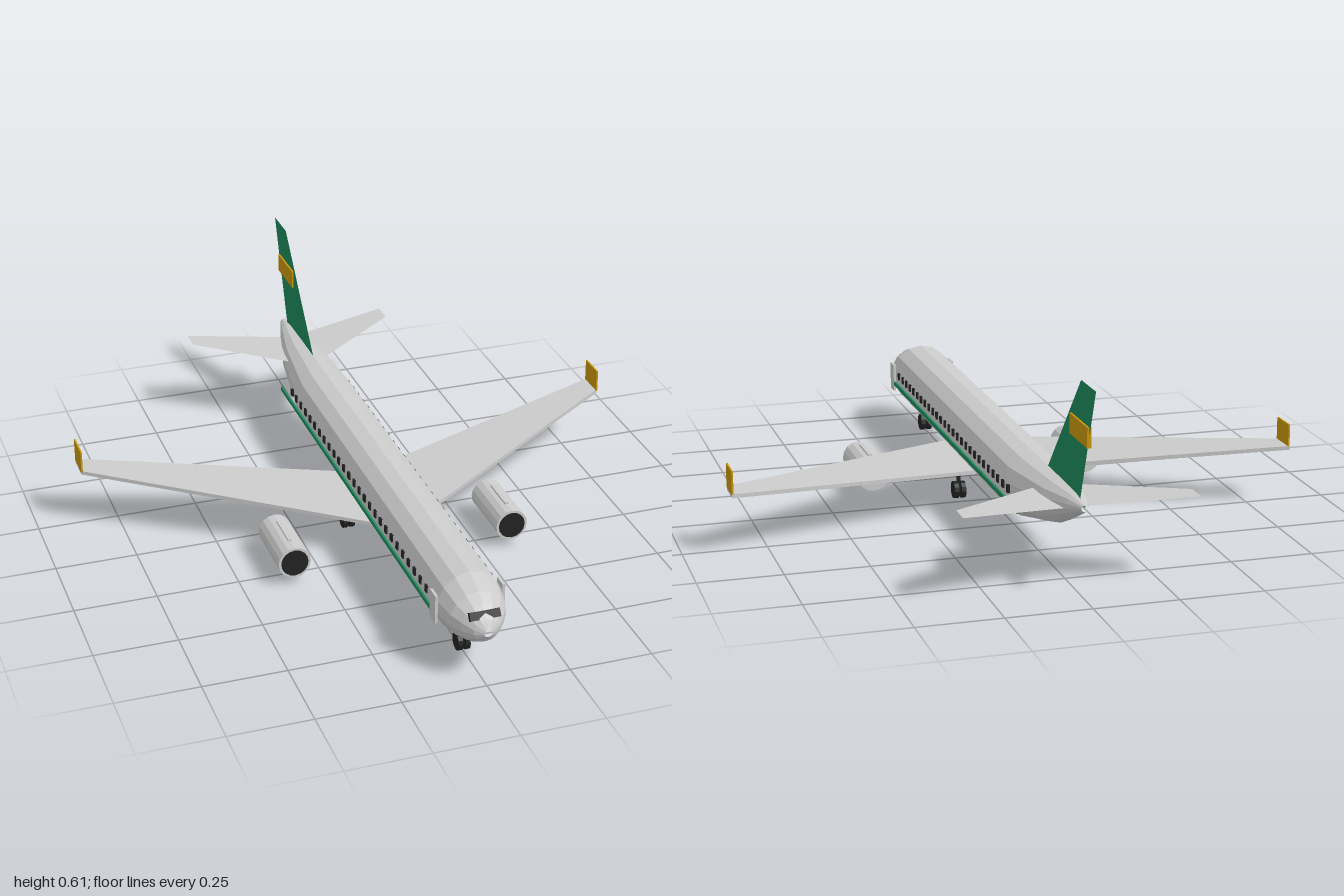
import * as THREE from 'three';

const mat = (color, extra = {}) => new THREE.MeshStandardMaterial({ color, flatShading: true, ...extra });
const grey = mat(0xcccccc);
const greySheet = mat(0xcccccc, { side: THREE.DoubleSide });
const dark = mat(0x222222);
const green = mat(0x1d8a5c, { side: THREE.DoubleSide });
const gold = mat(0xc8960c);

function add(parent, name, geometry, material, x = 0, y = 0, z = 0) {
  const mesh = new THREE.Mesh(geometry, material);
  mesh.name = name;
  mesh.position.set(x, y, z);
  parent.add(mesh);
  return mesh;
}
const box = (w, h, d) => new THREE.BoxGeometry(w, h, d);
const tube = (r, len, sides, axis) => {
  const g = new THREE.CylinderGeometry(r, r, len, sides);
  if (axis === 'x') g.rotateZ(Math.PI / 2);
  if (axis === 'z') g.rotateX(Math.PI / 2);
  return g;
};

// Rings along z, each [z, half width, top, bottom], joined and capped
function loft(rings, sides) {
  const pos = [], index = [];
  for (const [z, w, top, bottom] of rings) {
    for (let i = 0; i < sides; i++) {
      const a = (i / sides) * Math.PI * 2;
      pos.push(w * Math.sin(a), (top + bottom) / 2 + ((top - bottom) / 2) * Math.cos(a), z);
    }
  }
  for (let r = 0; r < rings.length - 1; r++) {
    for (let i = 0; i < sides; i++) {
      const j = (i + 1) % sides;
      const a = r * sides + i, b = r * sides + j, c = a + sides, d = b + sides;
      index.push(a, c, b, b, c, d);
    }
  }
  const last = (rings.length - 1) * sides;
  for (let i = 1; i < sides - 1; i++) {
    index.push(0, i + 1, i, last, last + i, last + i + 1);
  }
  const g = new THREE.BufferGeometry();
  g.setAttribute('position', new THREE.Float32BufferAttribute(pos, 3));
  g.setIndex(index);
  // nose-first rings need the opposite winding
  for (let i = 0; i < index.length; i += 3) {
    const t = g.index.getX(i + 1);
    g.index.setX(i + 1, g.index.getX(i + 2));
    g.index.setX(i + 2, t);
  }
  const flat = g.toNonIndexed();
  flat.computeVertexNormals();
  return flat;
}

// Planform of [x, z] corners laid flat, then raised with x (dihedral)
function panel(points, thickness, yAt) {
  const shape = new THREE.Shape(points.map(([x, z]) => new THREE.Vector2(x, -z)));
  const g = thickness
    ? new THREE.ExtrudeGeometry(shape, { depth: thickness, bevelEnabled: false }).translate(0, 0, -thickness / 2)
    : new THREE.ShapeGeometry(shape);
  g.rotateX(-Math.PI / 2);
  const p = g.attributes.position;
  for (let i = 0; i < p.count; i++) p.setY(i, p.getY(i) + yAt(Math.abs(p.getX(i))));
  g.computeVertexNormals();
  return g;
}

function landingGear(name, x, z, strutTop) {
  const gear = new THREE.Group();
  gear.name = name;
  for (const s of [-1, 1]) add(gear, 'wheel', tube(0.027, 0.014, 12, 'x'), dark, s * 0.011, 0.027, 0);
  add(gear, 'strut', tube(0.006, strutTop - 0.027, 8), dark, 0, (strutTop + 0.027) / 2, 0);
  gear.position.set(x, 0, z);
  return gear;
}

export function createModel() {
  const plane = new THREE.Group();
  plane.name = 'airliner';

  // Fuselage, nose to tail
  add(plane, 'fuselage', loft([
    [1.0, 0.012, 0.182, 0.16],
    [0.985, 0.038, 0.207, 0.138],
    [0.955, 0.064, 0.238, 0.118],
    [0.92, 0.084, 0.26, 0.104],
    [0.85, 0.098, 0.283, 0.088],
    [-0.46, 0.098, 0.283, 0.088],
    [-0.71, 0.068, 0.283, 0.152],
    [-0.85, 0.034, 0.28, 0.217],
    [-0.92, 0.011, 0.27, 0.25],
  ], 14), grey);

  // Cockpit glazing
  const windscreen = add(plane, 'cockpitWindow', box(0.09, 0.024, 0.026), dark, 0, 0.21, 0.963);
  windscreen.rotation.x = -0.55;

  for (const s of [-1, 1]) {
    const side = s > 0 ? 'left' : 'right';

    // Cabin windows, stripe and door
    for (let i = 0; i < 27; i++) {
      add(plane, side + 'Window', box(0.008, 0.022, 0.016), dark, s * 0.096, 0.2, 0.768 - i * 0.0492);
    }
    add(plane, side + 'Stripe', box(0.006, 0.013, 1.44), green, s * 0.1, 0.165, 0.1);
    add(plane, side + 'Door', box(0.008, 0.088, 0.043), grey, s * 0.1, 0.184, 0.838);

    // Swept wing and winglet
    const wing = [[0.05, 0.266], [0.86, -0.23], [0.86, -0.315], [0.05, -0.08]];
    add(plane, side + 'Wing', panel(wing.map(([x, z]) => [s * x, z]), 0.012,
      (x) => 0.12 + (x - 0.09) * 0.083), grey);
    add(plane, side + 'Winglet', box(0.005, 0.072, 0.088), gold, s * 0.858, 0.222, -0.27);

    // Tailplane
    const tail = [[0.02, -0.62], [0.34, -0.84], [0.34, -0.91], [0.02, -0.84]];
    add(plane, side + 'Tailplane', panel(tail.map(([x, z]) => [s * x, z]), 0,
      (x) => 0.238 + x * 0.068), greySheet);

    // Engine with dark intake and pylon
    const engine = new THREE.Group();
    engine.name = side + 'Engine';
    add(engine, 'nacelle', tube(0.05, 0.21, 16, 'z'), grey);
    add(engine, 'intake', tube(0.042, 0.01, 16, 'z'), dark, 0, 0, 0.102);
    add(engine, 'pylon', box(0.012, 0.02, 0.12), grey, 0, 0.045, 0);
    engine.position.set(s * 0.345, 0.074, 0.212);
    plane.add(engine);

    plane.add(landingGear(side + 'MainGear', s * 0.091, 0.04, 0.097));
  }
  plane.add(landingGear('noseGear', 0, 0.8, 0.1));

  // Fin sheet in the z-y plane, with a gold band
  const fin = new THREE.Shape([[0.585, 0.28], [0.875, 0.61], [1.0, 0.61], [0.875, 0.265], [0.6, 0.265]]
    .map(([x, y]) => new THREE.Vector2(x, y)));
  add(plane, 'fin', new THREE.ShapeGeometry(fin).rotateY(Math.PI / 2), green);
  add(plane, 'finBand', box(0.012, 0.058, 0.154), gold, 0, 0.468, -0.872);

  return plane;
}
